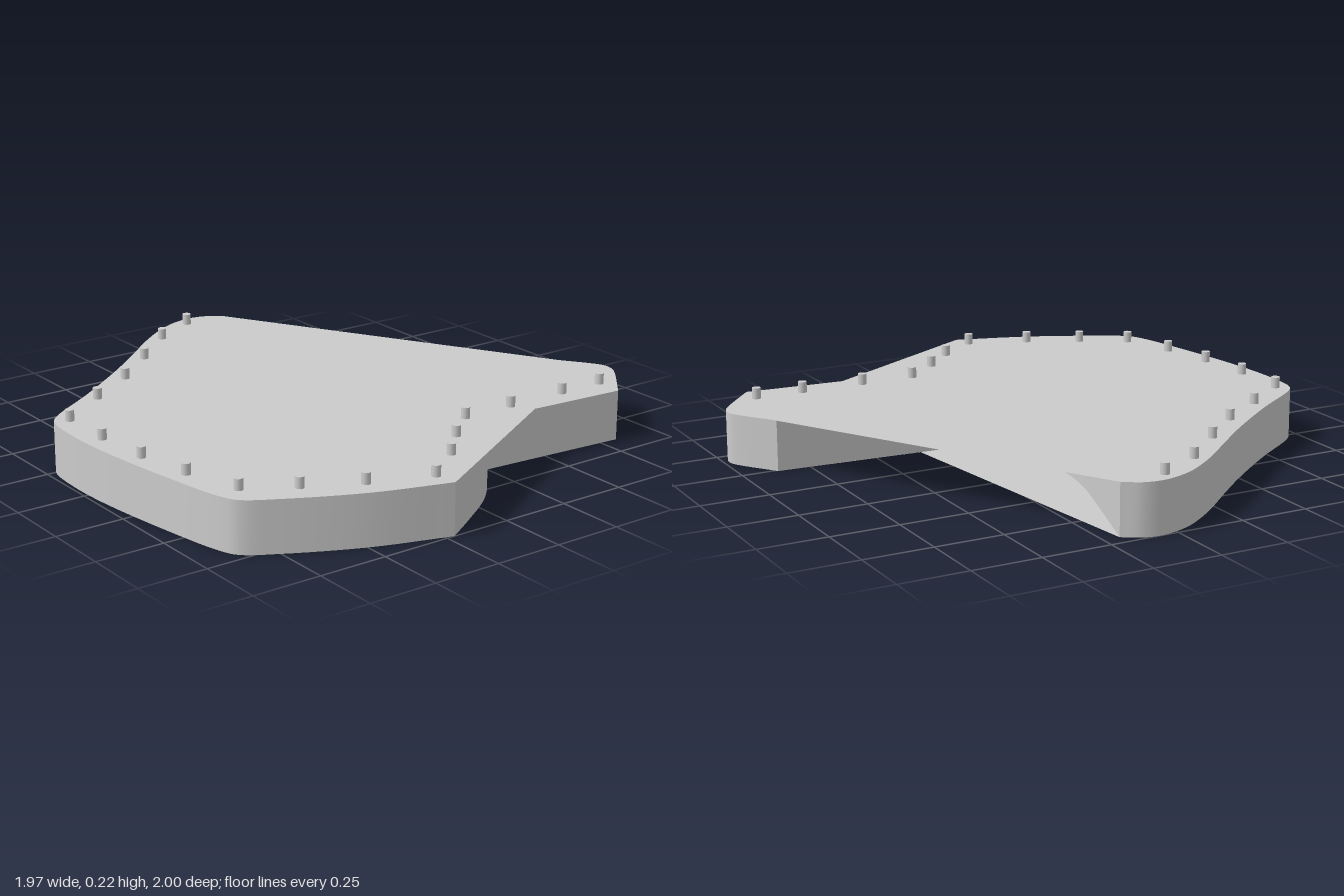
import * as THREE from 'three';

const HEIGHT = 0.185;
const PEG_RADIUS = 0.016;
const PEG_HEIGHT = 0.04;

const material = new THREE.MeshStandardMaterial({ color: 0xcccccc, side: THREE.DoubleSide });

// Smooth curve through plan points given as [x, z]
function smooth(points, steps = 6) {
  const curve = new THREE.CatmullRomCurve3(points.map(([x, z]) => new THREE.Vector3(x, 0, z)), false, 'centripetal');
  return curve.getPoints((points.length - 1) * steps).map((p) => [p.x, p.z]);
}

// Upright ribbon along a plan path, facing outwards
function wall(path) {
  const positions = [];
  const index = [];
  path.forEach(([x, z], i) => {
    positions.push(x, 0, z, x, HEIGHT, z);
    if (i > 0) {
      const a = 2 * (i - 1);
      index.push(a, a + 1, a + 2, a + 1, a + 3, a + 2);
    }
  });
  const geometry = new THREE.BufferGeometry();
  geometry.setAttribute('position', new THREE.Float32BufferAttribute(positions, 3));
  geometry.setIndex(index);
  geometry.computeVertexNormals();
  return geometry;
}

// Flat sheet from a plan outline, facing up or down
function sheet(outline, y, up) {
  const sign = up ? -1 : 1;
  const shape = new THREE.Shape(outline.map(([x, z]) => new THREE.Vector2(x, sign * z)));
  return new THREE.ShapeGeometry(shape).rotateX(sign * Math.PI / 2).translate(0, y, 0);
}

// Plan curves, listed clockwise as seen from above
const FRONT_TIP = [-0.22, 1];
const BACK_TIP = [0.19, -0.95];
const TAIL_CORNER = [0.82, 0.65];
const ARM_CORNER = [0.87, 0.24];

const leftCurve = smooth([
  FRONT_TIP, [-0.27, 0.985], [-0.5, 0.91], [-0.75, 0.79], [-0.86, 0.72], [-0.89, 0.66],
  [-0.94, 0.4], [-0.98, 0.08], [-0.985, -0.1], [-0.97, -0.24], [-0.94, -0.285],
  [-0.72, -0.44], [-0.5, -0.61], [-0.36, -0.73], [-0.2, -0.87], [-0.07, -0.96],
  [0.02, -0.994], [0.07, -1], [0.13, -0.988], BACK_TIP,
]);
const backHollow = smooth([
  BACK_TIP, [0.1, -0.68], [0.02, -0.42], [-0.005, -0.22], [0.06, 0.04], [0.21, 0.2],
]);
const tailEnd = smooth([
  ARM_CORNER, [0.965, 0.375], [0.98, 0.41], [0.975, 0.455], [0.95, 0.495], TAIL_CORNER,
]);
const frontHollow = smooth([[0.21, 0.605], [0.16, 0.71], [0.06, 0.815], [-0.1, 0.925], FRONT_TIP]);

export function createModel() {
  const model = new THREE.Group();
  model.name = 'peggedPanel';
  const add = (name, geometry, parent = model) => {
    const mesh = new THREE.Mesh(geometry, material);
    mesh.name = name;
    parent.add(mesh);
    return mesh;
  };

  // Side walls, split at the sharp corners
  const walls = new THREE.Group();
  walls.name = 'sideWalls';
  model.add(walls);
  add('leftWall', wall(leftCurve), walls);
  add('backHollowWall', wall(backHollow), walls);
  add('armBackWall', wall([[0.21, 0.2], ARM_CORNER]), walls);
  add('tailWall', wall(tailEnd), walls);
  add('armFrontWall', wall([TAIL_CORNER, [0.21, 0.605]]), walls);
  add('frontHollowWall', wall(frontHollow), walls);

  // The top sheet spans both hollows
  add('topSheet', sheet([...leftCurve, ...tailEnd.slice(1), [0.45, 0.622]], HEIGHT, true));

  // The bottom sheet follows the walls, with a straight edge across the back hollow
  add('bottomSheet', sheet([
    ...leftCurve, [0.33, 0.207], ...tailEnd, ...frontHollow.slice(0, -1),
  ], 0, false));

  // Small pegs along the rim
  const pegs = new THREE.Group();
  pegs.name = 'pegs';
  model.add(pegs);
  const pegGeometry = new THREE.CylinderGeometry(PEG_RADIUS, PEG_RADIUS, PEG_HEIGHT, 16);
  [
    [0.02, -0.945], [-0.16, -0.84], [-0.345, -0.67], [-0.525, -0.51], [-0.72, -0.375],
    [-0.915, -0.23], [-0.92, -0.005], [-0.905, 0.22], [-0.87, 0.435], [-0.81, 0.645],
    [-0.645, 0.745], [-0.455, 0.84], [-0.235, 0.92], [-0.07, 0.795], [0.055, 0.67],
    [0.195, 0.55], [0.4, 0.55], [0.64, 0.55], [0.82, 0.55],
  ].forEach(([x, z]) => {
    add('peg', pegGeometry, pegs).position.set(x, HEIGHT + PEG_HEIGHT / 2, z);
  });

  return model;
}
